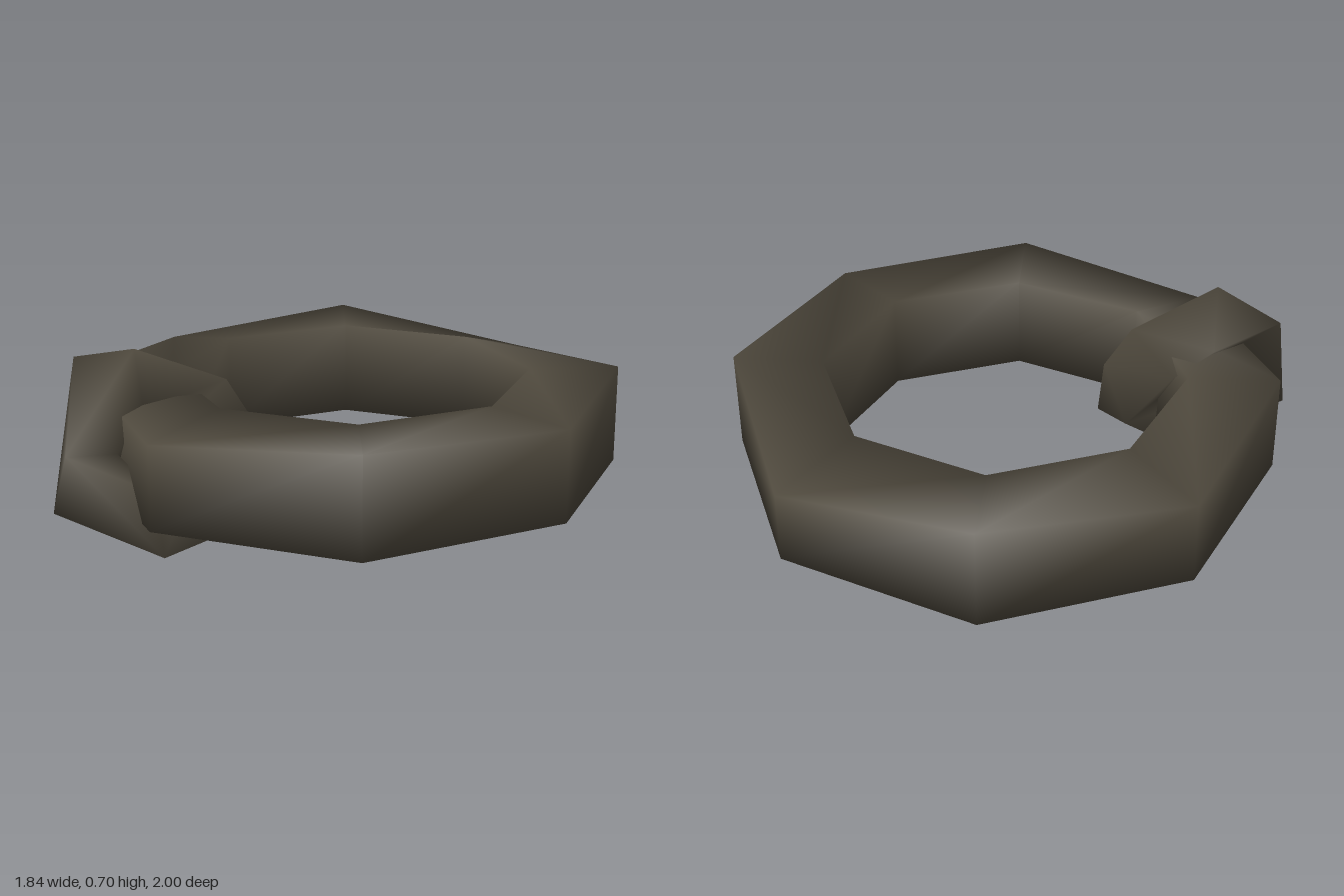
import * as THREE from 'three';

// Closed band: a loop of stations, each a closed section, with shared smooth normals
function loopGeometry(stations) {
  const n = stations.length, m = stations[0].length, index = [];
  for (let i = 0; i < n; i++) {
    for (let j = 0; j < m; j++) {
      const i2 = (i + 1) % n, j2 = (j + 1) % m;
      const a = i * m + j, b = i2 * m + j, c = i2 * m + j2, d = i * m + j2;
      index.push(a, b, c, a, c, d);
    }
  }
  const g = new THREE.BufferGeometry();
  g.setAttribute('position', new THREE.Float32BufferAttribute(stations.flat(2), 3));
  g.setIndex(index);
  g.computeVertexNormals();
  return g;
}

export function createModel() {
  const group = new THREE.Group();
  const darkBrown = new THREE.MeshStandardMaterial({ color: 0x504a3e });
  darkBrown.name = 'darkBrown';
  const add = (name, stations) => {
    const mesh = new THREE.Mesh(loopGeometry(stations), darkBrown);
    mesh.name = name;
    group.add(mesh);
  };

  // Eight-sided ring; the outer top edge dips at every second corner
  const outerTop = [0.48, 0.535, 0.52, 0.535, 0.44, 0.535, 0.48, 0.535];
  add('ring', outerTop.map((top, i) => {
    const t = i * Math.PI / 4;
    const at = (r, y) => [r * Math.sin(t), y, r * Math.cos(t) - 0.075];
    return [at(0.922, i === 2 ? 0.21 : 0.195), at(0.922, top), at(0.615, 0.53), at(0.615, 0.195)];
  }));

  // Tilted loop knotted round the ring: left and right outer edges, from the top over the front
  const leftEdge = [[-0.51, 0.64, 0.72], [-0.38, 0.18, 0.93], [-0.18, 0, 0.62],
    [-0.21, 0.26, 0.30], [-0.35, 0.48, 0.38], [-0.42, 0.57, 0.50]];
  const rightEdge = [[-0.27, 0.70, 0.66], [-0.21, 0.43, 1.0], [0, 0.09, 0.79],
    [0.06, 0.14, 0.42], [-0.06, 0.42, 0.33], [-0.13, 0.57, 0.39]];
  const centre = [-0.22, 0.36, 0.65];
  const inward = (p) => p.map((v, k) => centre[k] + (v - centre[k]) * 0.4);
  add('knot', leftEdge.map((l, i) => [l, rightEdge[i], inward(rightEdge[i]), inward(l)]));

  return group;
}
